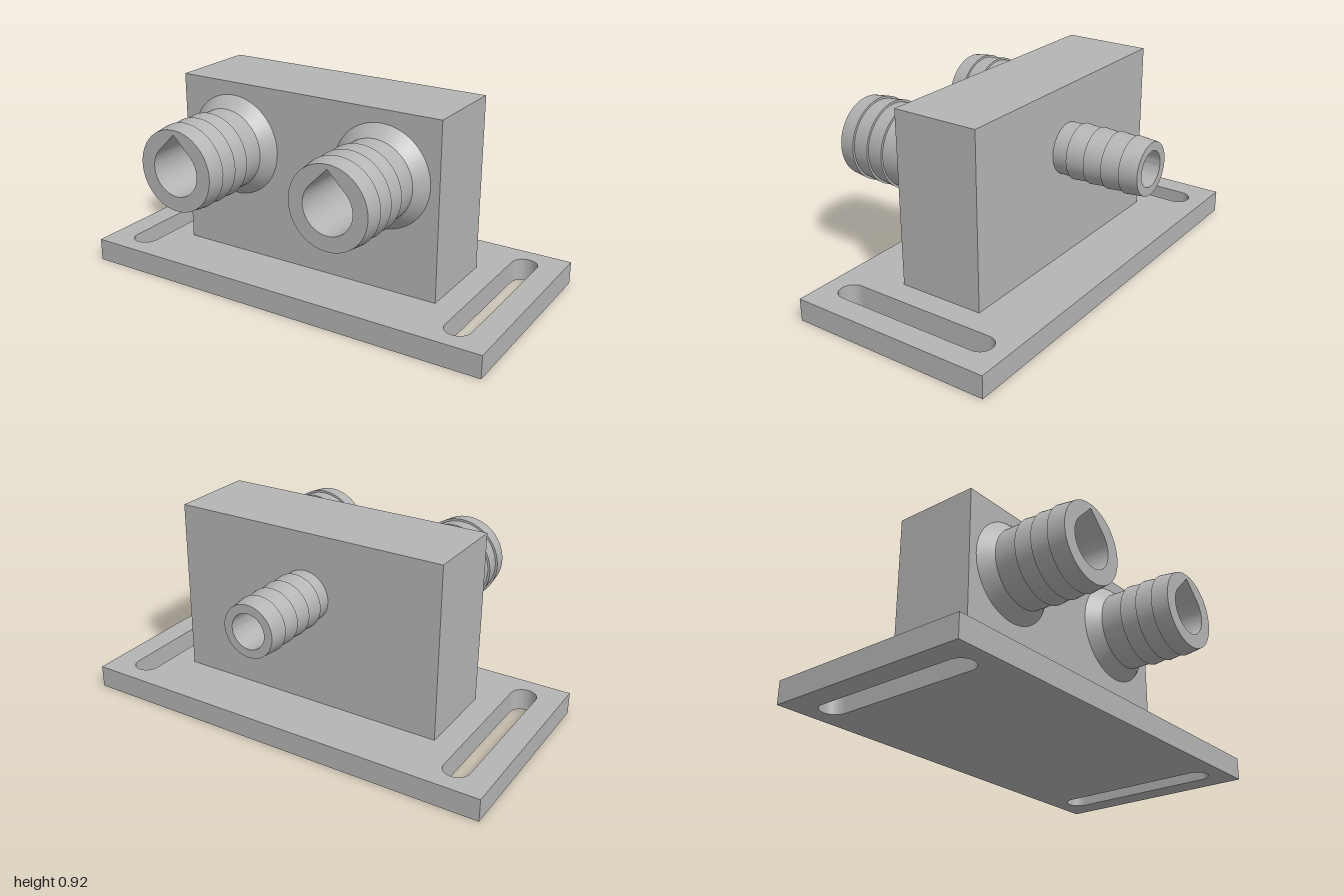
import * as THREE from 'three';
import { toCreasedNormals, mergeGeometries } from 'three/addons/utils/BufferGeometryUtils.js';

const CY = 0.622;        // height of all port axes
const CX = 0.38;         // sideways offset of the outlets
const R = 0.115;         // outlet and channel bore radius
const RIN = 0.08;        // inlet bore radius
const TIP = 0.62;        // distance of the nozzle ends from the centre
const BZ = 0.205;        // half depth of the block
const BX = 0.655;
const BASE = 0.105, TOP = 0.915;

// Half of a teardrop bore as [half width, height], from the pointed roof down
const half = [[0, R * Math.SQRT2]];
for (let i = 0; i <= 32; i++) {
  const a = Math.PI / 4 - (i / 32) * Math.PI * 0.75;
  half.push([R * Math.cos(a), R * Math.sin(a)]);
}

// Ruled surface between two rows of points
function strip(a, b) {
  const pos = [];
  for (let i = 0; i < a.length - 1; i++) {
    pos.push(...a[i], ...b[i], ...a[i + 1], ...a[i + 1], ...b[i], ...b[i + 1]);
  }
  const g = new THREE.BufferGeometry();
  g.setAttribute('position', new THREE.Float32BufferAttribute(pos, 3));
  return toCreasedNormals(g, 0.5);
}

function teardropPath(cx, cy) {
  const right = half.map(([w, y]) => new THREE.Vector2(cx + w, cy + y));
  const left = half.slice(1, -1).reverse().map(([w, y]) => new THREE.Vector2(cx - w, cy + y));
  return new THREE.Path([...right, ...left]);
}

function circlePath(cx, cy, r) {
  return new THREE.Path().absarc(cx, cy, r, 0, Math.PI * 2, true);
}

function rectShape(x0, y0, x1, y1) {
  return new THREE.Shape([[x0, y0], [x1, y0], [x1, y1], [x0, y1]].map(p => new THREE.Vector2(...p)));
}

function discShape(r) {
  return new THREE.Shape().absarc(0, 0, r, 0, Math.PI * 2, false);
}

function barb(profile) {
  const pts = profile.map(([r, z]) => new THREE.Vector2(r, z));
  return toCreasedNormals(new THREE.LatheGeometry(pts, 64), 0.5);
}

export function createModel() {
  const group = new THREE.Group();
  const grey = new THREE.MeshStandardMaterial({ color: 0xb4b4b4, side: THREE.DoubleSide });
  grey.name = 'grey';
  const add = (name, geometry, x = 0, y = 0, z = 0) => {
    const m = new THREE.Mesh(geometry, grey);
    m.name = name;
    m.position.set(x, y, z);
    group.add(m);
    return m;
  };

  // Mounting plate with two long slots
  const plate = rectShape(-1, -0.485, 1, 0.485);
  for (const s of [-1, 1]) {
    const slot = new THREE.Path();
    slot.absarc(s * 0.83, 0.345, 0.06, 0, Math.PI, false);
    slot.absarc(s * 0.83, -0.345, 0.06, Math.PI, Math.PI * 2, false);
    slot.closePath();
    plate.holes.push(slot);
  }
  const plateGeo = new THREE.ExtrudeGeometry(plate, { depth: BASE, bevelEnabled: false, curveSegments: 20 });
  plateGeo.rotateX(-Math.PI / 2);
  add('mountingPlate', toCreasedNormals(plateGeo, 0.5));

  // Block: box sides plus front and back faces pierced by the bores
  const box = new THREE.BoxGeometry(BX * 2, TOP - BASE, BZ * 2);
  box.setIndex(Array.from(box.index.array).slice(0, 24));
  box.clearGroups();
  add('blockSides', box, 0, (TOP + BASE) / 2, 0);
  const front = rectShape(-BX, BASE, BX, TOP);
  front.holes.push(teardropPath(-CX, CY), teardropPath(CX, CY));
  add('blockFront', new THREE.ShapeGeometry(front), 0, 0, BZ);
  const back = rectShape(-BX, BASE, BX, TOP);
  back.holes.push(circlePath(0, CY, RIN));
  add('blockBack', new THREE.ShapeGeometry(back, 32).rotateY(Math.PI), 0, 0, -BZ);

  // Two large barbed outlets on the front with teardrop bores
  const outletProfile = [[0.233, BZ], [0.183, 0.265], [0.183, 0.375], [0.193, 0.375],
    [0.183, 0.457], [0.193, 0.457], [0.183, 0.54], [0.193, 0.54], [0.183, TIP]];
  for (const [side, s] of [['left', 1], ['right', -1]]) {
    const cx = s * CX;
    add(side + 'Outlet', barb(outletProfile).rotateX(Math.PI / 2), cx, CY, 0);
    const tip = discShape(0.183);
    tip.holes.push(teardropPath(0, 0));
    add(side + 'OutletTip', new THREE.ShapeGeometry(tip, 32), cx, CY, TIP);
    const walls = [-1, 1].map(k => strip(
      half.map(([w, y]) => [k * w, y, TIP]),
      half.map(([w, y]) => [k * w, y, w])));
    add(side + 'OutletBore', mergeGeometries(walls), cx, CY, 0);
  }

  // Small barbed inlet on the back with a round bore
  const inletProfile = [[0.118, BZ], [0.118, 0.277], [0.127, 0.277], [0.119, 0.363], [0.127, 0.363],
    [0.119, 0.449], [0.127, 0.449], [0.119, 0.535], [0.127, 0.535], [0.119, TIP]];
  add('inlet', barb(inletProfile).rotateX(-Math.PI / 2), 0, CY, 0);
  const inletTip = discShape(0.119);
  inletTip.holes.push(circlePath(0, 0, RIN));
  add('inletTip', new THREE.ShapeGeometry(inletTip, 32).rotateY(Math.PI), 0, CY, -TIP);
  const ring = Array.from({ length: 65 }, (_, i) => {
    const a = (i / 64) * Math.PI * 2;
    return [RIN * Math.cos(a), RIN * Math.sin(a)];
  });
  add('inletBore', strip(
    ring.map(([x, y]) => [x, y, -TIP]),
    ring.map(([x, y]) => [x, y, -Math.sqrt(R * R - y * y)])), 0, CY, 0);

  // Cross channel joining the three ports, open where each bore enters
  const end = CX + R;
  const wall = (k, x0, x1) => strip(
    half.map(([w, y]) => [x0(w, y), y, k * w]),
    half.map(([w, y]) => [x1(w, y), y, k * w]));
  const gap = (w, y) => Math.sqrt(Math.max(0, RIN * RIN - y * y));
  add('crossChannel', mergeGeometries([
    wall(1, () => -end, w => -CX - w),
    wall(1, w => -CX + w, w => CX - w),
    wall(1, w => CX + w, () => end),
    wall(-1, () => -end, (w, y) => -gap(w, y)),
    wall(-1, gap, () => end),
  ]), 0, CY, 0);
  const cap = new THREE.ShapeGeometry(new THREE.Shape(teardropPath(0, 0).getPoints()));
  for (const s of [-1, 1]) add('channelEnd', cap, s * end, CY, 0).rotation.y = -s * Math.PI / 2;

  return group;
}
